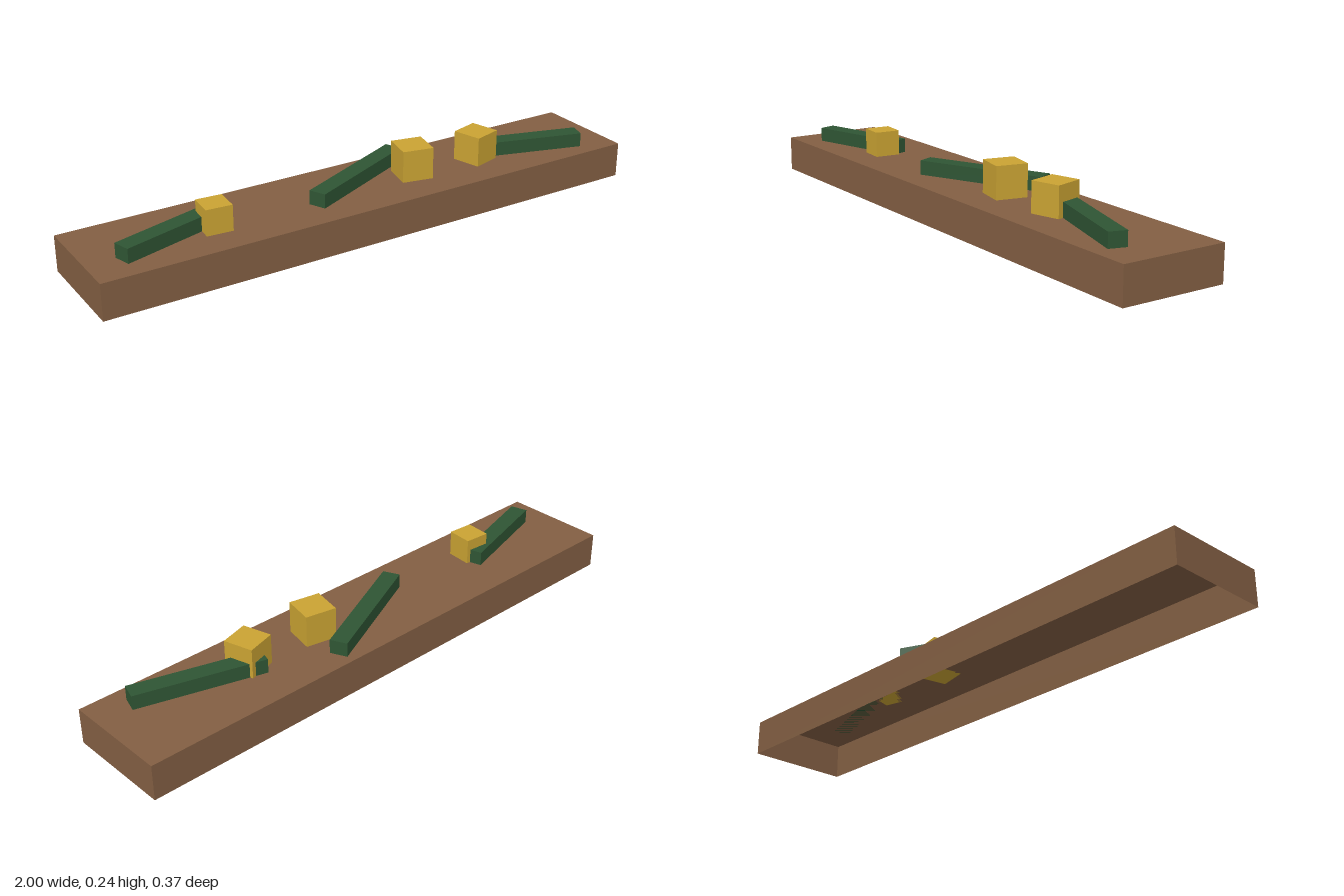
import * as THREE from 'three';

const soil = new THREE.MeshStandardMaterial({ color: 0x835f43 });
soil.name = 'earthBrown';
soil.side = THREE.DoubleSide;
const green = new THREE.MeshStandardMaterial({ color: 0x2f5534 });
green.name = 'darkGreen';
const yellow = new THREE.MeshStandardMaterial({ color: 0xcaa333 });
yellow.name = 'goldenYellow';

const TOP = 0.125;

// Box standing on the bed, turned about the vertical axis
function block(name, material, [x, z], [w, h, d], angle) {
  const mesh = new THREE.Mesh(new THREE.BoxGeometry(w, h, d), material);
  mesh.name = name;
  mesh.position.set(x, TOP + h / 2, z);
  mesh.rotation.y = angle;
  return mesh;
}

// Bar laid between two points (x, z) on the bed
function stem(name, [x0, z0], [x1, z1]) {
  const length = Math.hypot(x1 - x0, z1 - z0);
  const angle = -Math.atan2(z1 - z0, x1 - x0);
  return block(name, green, [(x0 + x1) / 2, (z0 + z1) / 2], [length, 0.05, 0.061], angle);
}

export function createModel() {
  const model = new THREE.Group();
  model.name = 'plantedBed';

  // Hollow bed: a box without its bottom face
  const shell = new THREE.BoxGeometry(2, TOP, 0.374);
  const faces = Array.from(shell.index.array);
  faces.splice(18, 6);
  shell.setIndex(faces);
  shell.clearGroups();
  const bed = new THREE.Mesh(shell, soil);
  bed.name = 'bed';
  bed.position.y = TOP / 2;
  model.add(bed);

  // Green stems
  model.add(
    stem('rightStem', [-0.888, 0.085], [-0.521, -0.021]),
    stem('middleStem', [-0.198, 0.067], [0.229, -0.13]),
    stem('leftStem', [0.448, -0.024], [0.874, 0.1025]),
  );

  // Yellow blossoms
  model.add(
    block('rightBlossom', yellow, [-0.552, 0.033], [0.09, 0.09, 0.09], -0.08),
    block('middleBlossom', yellow, [0.208, 0.017], [0.11, 0.112, 0.11], -0.2),
    block('leftBlossom', yellow, [0.477, 0.019], [0.105, 0.105, 0.105], 0.28),
  );
  return model;
}
